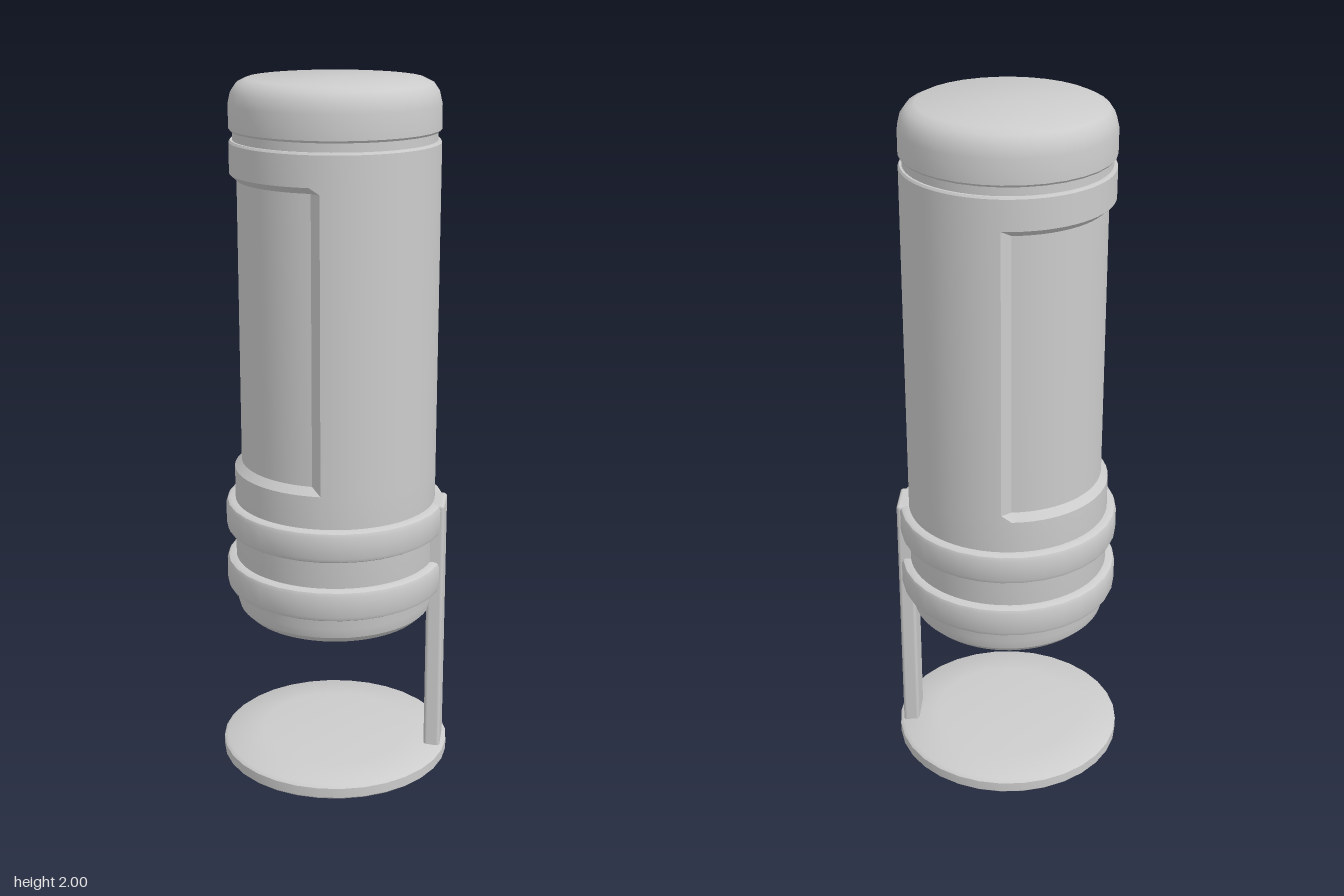
import * as THREE from 'three';
import { toCreasedNormals } from 'three/addons/utils/BufferGeometryUtils.js';
import { RoundedBoxGeometry } from 'three/addons/geometries/RoundedBoxGeometry.js';

const material = new THREE.MeshStandardMaterial({ color: 0xcccccc });

// Turned part from [radius, y] pairs, listed from bottom to top.
function turned(profile, segments = 32) {
  return new THREE.LatheGeometry(profile.map(([r, y]) => new THREE.Vector2(r, y)), segments);
}

export function createModel() {
  const model = new THREE.Group();

  function add(name, geometry, crease = 0.6) {
    const mesh = new THREE.Mesh(crease ? toCreasedNormals(geometry, crease) : geometry, material);
    mesh.name = name;
    model.add(mesh);
    return mesh;
  }

  // Slightly domed round foot
  add('base', turned([
    [0, 0], [0.333, 0], [0.338, 0.005], [0.338, 0.034], [0.328, 0.042],
    [0.22, 0.051], [0.11, 0.057], [0, 0.058],
  ]));

  // Canister body with a neck groove at the top
  const body = turned([
    [0, 0.455], [0.235, 0.455], [0.262, 0.462], [0.282, 0.482], [0.29, 0.512],
    [0.29, 0.906], [0.29, 0.927], [0.29, 1.73], [0.29, 1.748],
    [0.29, 1.832], [0.286, 1.838], [0.28, 1.838], [0.28, 1.87], [0, 1.87],
  ], 64);
  // Sink a panel into the right half of the wall, with sloping edges
  const p = body.attributes.position;
  for (let i = 0; i < p.count; i++) {
    const y = p.getY(i);
    if (p.getX(i) < -0.01 && y > 0.92 && y < 1.74) {
      p.setX(i, p.getX(i) * 0.27 / 0.29);
      p.setZ(i, p.getZ(i) * 0.27 / 0.29);
    }
  }
  add('body', body, 0.5);

  // Rounded lid
  add('cap', turned([
    [0, 1.862], [0.285, 1.862], [0.29, 1.868], [0.29, 1.935],
    [0.283, 1.965], [0.267, 1.988], [0.242, 2], [0, 2],
  ]));

  // Two clamp rings holding the body
  for (const [name, y] of [['lowerRing', 0.59], ['upperRing', 0.765]]) {
    const h = 0.046;
    add(name, turned([
      [0.28, y - h], [0.304, y - h], [0.313, y - h + 0.005], [0.317, y - h + 0.015],
      [0.317, y + h - 0.015], [0.313, y + h - 0.005], [0.304, y + h], [0.28, y + h],
    ]));
  }

  // Upright post joining the rings to the base
  const post = add('post', new RoundedBoxGeometry(0.048, 0.782, 0.116, 3, 0.01), 0);
  post.position.set(0.299, 0.421, 0);

  return model;
}
